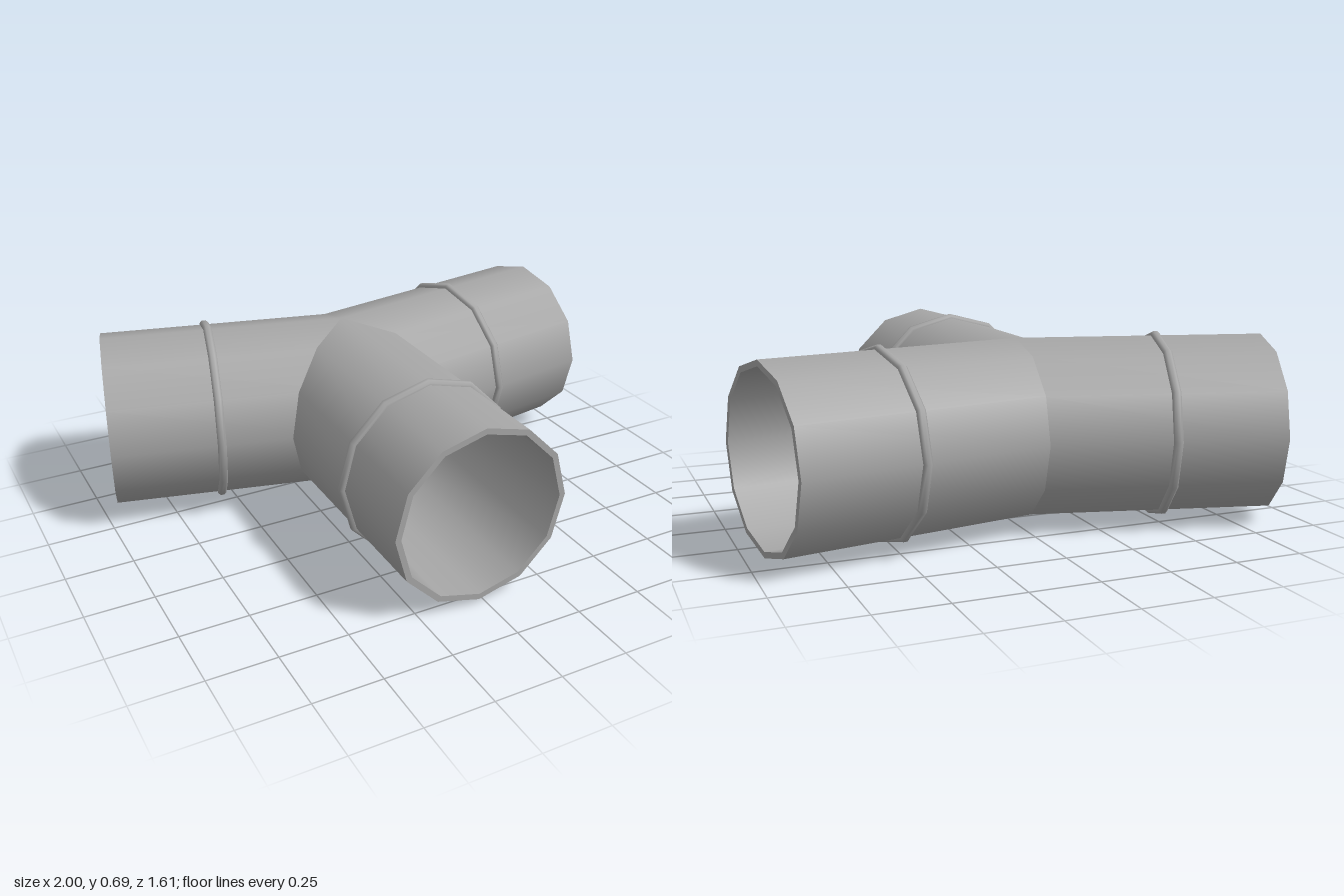
import * as THREE from 'three';

const OUTER = 0.33, INNER = 0.308, SIDES = 12;
const MITRE = Math.tan(THREE.MathUtils.degToRad(12.25));

export function createModel() {
  const metal = new THREE.MeshStandardMaterial({ color: 0xa6a6a6, side: THREE.DoubleSide });
  metal.name = 'galvanised grey';
  const model = new THREE.Group();
  model.name = 'pipeJunction';

  // Open tube along +z whose start is trimmed where the branches meet.
  // front = +1 / -1: local x side facing the front branch; 0: the front branch itself.
  function wall(radius, length, front) {
    const g = new THREE.CylinderGeometry(radius, radius, length, SIDES, 1, true);
    g.rotateX(Math.PI / 2).translate(0, 0, length / 2);
    const p = g.attributes.position;
    for (let i = 0; i < p.count; i++) {
      if (p.getZ(i) > length / 2) continue;
      const x = p.getX(i), u = front * x;
      let start = 0.09;
      if (Math.abs(x) < 1e-4) start = 0;
      else if (u < 0) start = -u * MITRE;
      p.setZ(i, start);
    }
    return g;
  }

  // Raised bead around a branch
  function bead() {
    const profile = [[0.325, -0.016], [0.338, -0.016], [0.346, -0.007], [0.346, 0.007], [0.338, 0.016], [0.325, 0.016]]
      .map(([r, y]) => new THREE.Vector2(r, y));
    return new THREE.LatheGeometry(profile, SIDES).rotateX(Math.PI / 2);
  }

  function branch(name, degrees, length, beadAt, front) {
    const group = new THREE.Group();
    group.name = name;
    const add = (part, geometry, z = 0) => {
      const m = new THREE.Mesh(geometry, metal);
      m.name = part;
      m.position.z = z;
      group.add(m);
    };
    add('outerWall', wall(OUTER, length, front));
    add('innerWall', wall(INNER, length, front));
    add('endRim', new THREE.RingGeometry(INNER, OUTER, SIDES), length);
    add('bead', bead(), beadAt);
    group.position.set(-0.025, 0.35, -0.255);
    group.rotation.y = THREE.MathUtils.degToRad(degrees);
    model.add(group);
  }

  branch('frontBranch', 0, 1.055, 0.677, 0);
  branch('leftBranch', 100, 0.982, 0.55, -1);
  branch('rightBranch', -104.5, 0.922, 0.52, 1);
  return model;
}
